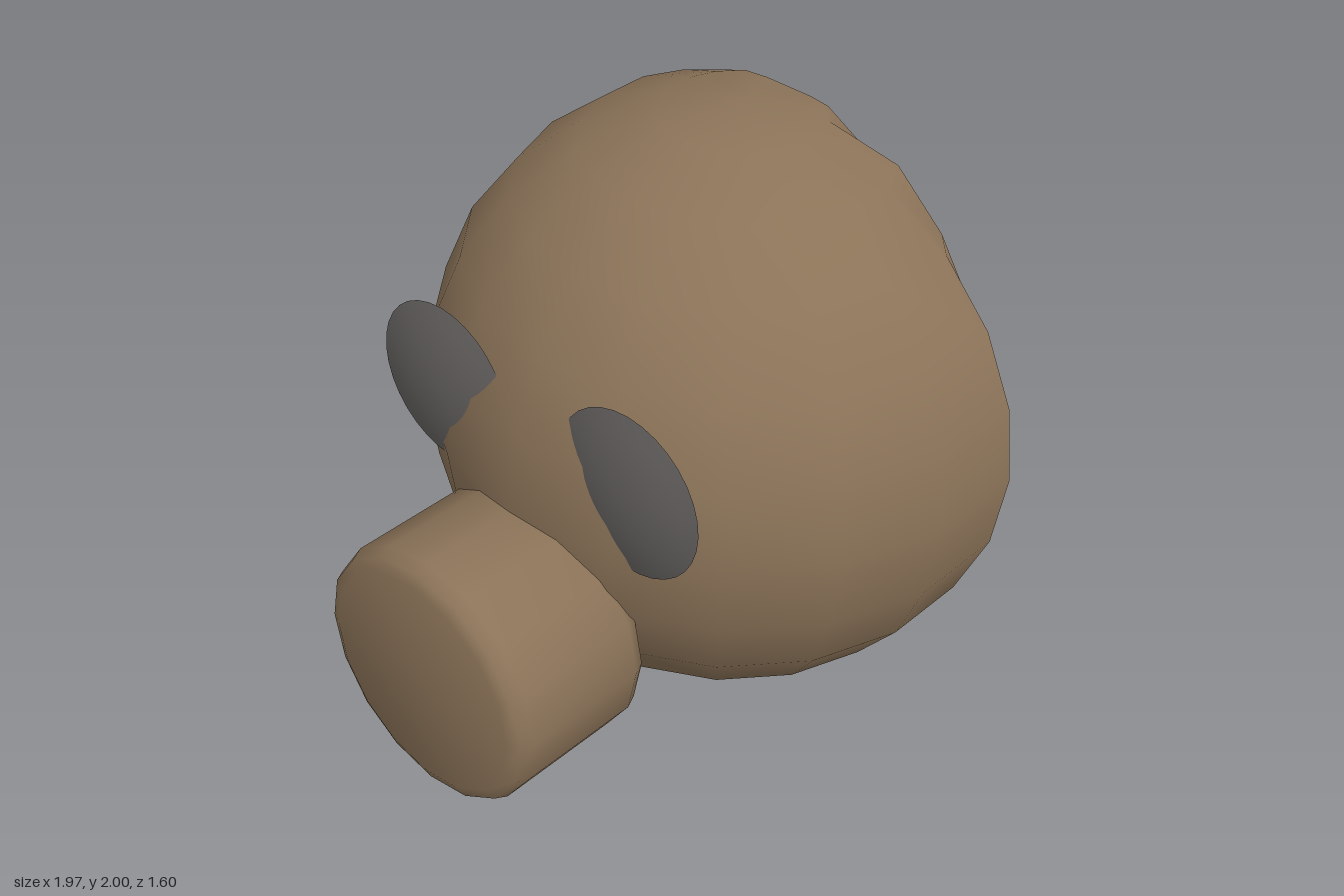
import * as THREE from 'three';
import { toCreasedNormals } from 'three/addons/utils/BufferGeometryUtils.js';

const brown = new THREE.MeshStandardMaterial({ color: 0x8b7358 });
brown.name = 'brown';
const grey = new THREE.MeshStandardMaterial({ color: 0x666361 });
grey.name = 'grey';

function addPart(group, name, geometry, material, crease) {
  const mesh = new THREE.Mesh(toCreasedNormals(geometry, crease), material);
  mesh.name = name;
  group.add(mesh);
  return mesh;
}

// Lathe turned so that its axis runs along z
function turned(points, sides) {
  const profile = points.map(([r, z]) => new THREE.Vector2(r, z));
  return new THREE.LatheGeometry(profile, sides).rotateX(Math.PI / 2);
}

export function createModel() {
  const model = new THREE.Group();
  model.name = 'animalHead';

  // Head: a sphere whose rear vertices are pressed flat against a plane
  const head = new THREE.SphereGeometry(1, 18, 12, Math.PI / 18);
  head.translate(0, 1, -0.59);
  const p = head.attributes.position;
  for (let i = 0; i < p.count; i++) p.setZ(i, Math.max(p.getZ(i), -0.8));
  addPart(model, 'head', head, brown, 0.75);

  // Snout: a short cylinder with rounded rims
  const snout = turned([
    [0, 0.25], [0.38, 0.25], [0.422, 0.268], [0.44, 0.31],
    [0.44, 0.74], [0.422, 0.782], [0.38, 0.8], [0, 0.8],
  ], 16);
  addPart(model, 'snout', snout, brown, 0.9).position.y = 0.56;

  // Eye patches: shallow domes with flat backs, half sunk in the head
  const dome = [[0, 0], [0.277, 0]];
  for (let i = 1; i <= 6; i++) {
    const r = 1 - i / 6;
    dome.push([0.277 * r, 0.045 * (1 - r * r)]);
  }
  for (const side of [1, -1]) {
    const eye = addPart(model, side > 0 ? 'leftEye' : 'rightEye', turned(dome, 32), grey, 0.25);
    eye.position.set(side * 0.387, 1.225, 0.303);
  }
  return model;
}
